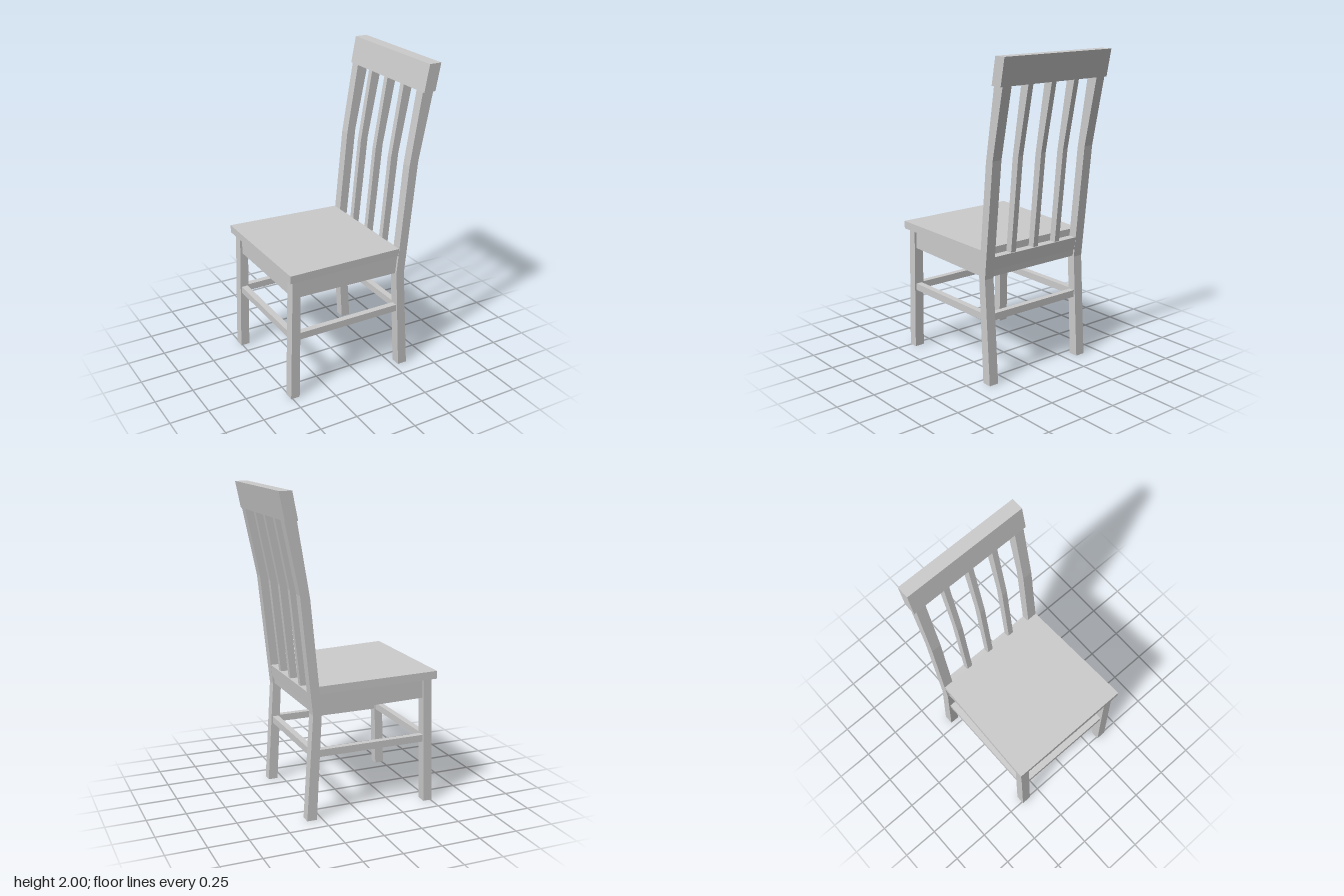
import * as THREE from 'three';

const material = new THREE.MeshStandardMaterial({ color: 0xcccccc, flatShading: true });

export function createModel() {
  const chair = new THREE.Group();
  chair.name = 'chair';

  // Extrude a side profile (x, y) across the chair between z0 and z1
  function slab(name, points, z0, z1) {
    const shape = new THREE.Shape(points.map(([x, y]) => new THREE.Vector2(x, y)));
    const geometry = new THREE.ExtrudeGeometry(shape, { depth: z1 - z0, bevelEnabled: false });
    geometry.translate(0, 0, z0);
    const mesh = new THREE.Mesh(geometry, material);
    mesh.name = name;
    chair.add(mesh);
    return mesh;
  }
  const pair = (name, points, z0, z1) => {
    slab(name + 'A', points, z0, z1);
    slab(name + 'B', points, -z1, -z0);
  };
  const rect = (x0, x1, y0, y1) => [[x0, y0], [x1, y0], [x1, y1], [x0, y1]];

  // Legs; the rear ones bend and continue up as the back posts
  pair('frontLeg', [[-0.51, 0], [-0.45, 0], [-0.43, 0.813], [-0.485, 0.815]], 0.33, 0.395);
  pair('backPost', [
    [0.285, 0], [0.348, 0], [0.306, 0.67], [0.382, 1.4], [0.472, 1.835],
    [0.397, 1.835], [0.32, 1.38], [0.25, 0.68],
  ], 0.33, 0.395);

  // Seat, narrowing towards the back
  const seat = slab('seat', [[-0.51, 0.815], [0.263, 0.798], [0.263, 0.846], [-0.51, 0.865]], -1, 1);
  const p = seat.geometry.attributes.position;
  for (let i = 0; i < p.count; i++) {
    const t = (p.getX(i) + 0.51) / 0.773;
    p.setZ(i, p.getZ(i) * THREE.MathUtils.lerp(0.418, 0.394, t));
  }
  seat.geometry.computeVertexNormals();

  // Aprons under the seat
  pair('sideApron', [[-0.44, 0.69], [0.26, 0.675], [0.27, 0.798], [-0.44, 0.813]], 0.345, 0.38);
  slab('frontApron', [[-0.473, 0.69], [-0.438, 0.69], [-0.438, 0.813], [-0.473, 0.813]], -0.335, 0.335);
  slab('backApron', [[0.257, 0.675], [0.295, 0.675], [0.305, 0.798], [0.265, 0.798]], -0.335, 0.335);
  slab('lowerBackRail', [[0.255, 0.72], [0.31, 0.72], [0.318, 0.802], [0.262, 0.802]], -0.335, 0.335);

  // Stretchers between the legs
  pair('sideStretcher', rect(-0.45, 0.275, 0.4, 0.445), 0.342, 0.383);
  slab('frontStretcher', rect(-0.488, -0.447, 0.4, 0.445), -0.335, 0.335);
  slab('backStretcher', rect(0.272, 0.312, 0.4, 0.445), -0.335, 0.335);

  // Bent back slats
  const slat = [
    [0.264, 0.8], [0.309, 0.8], [0.372, 1.4], [0.46, 1.835], [0.397, 1.835], [0.32, 1.38],
  ];
  slab('centreSlat', slat, -0.018, 0.018);
  pair('sideSlat', slat, 0.159, 0.196);

  // Head rail
  slab('headRail', [[0.395, 1.832], [0.474, 1.832], [0.508, 2], [0.428, 2]], -0.411, 0.411);

  return chair;
}
